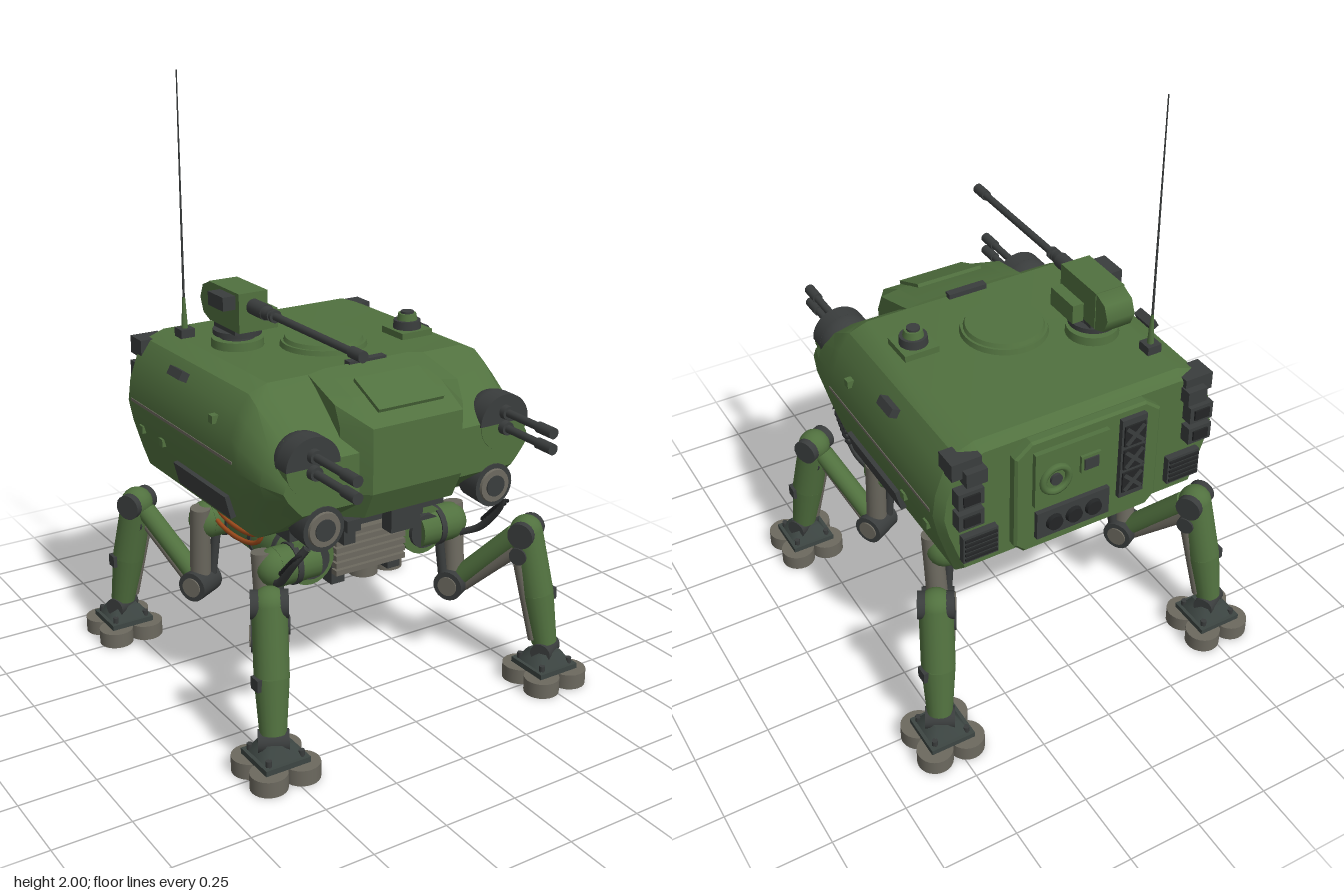
import * as THREE from 'three';
import { toCreasedNormals } from 'three/addons/utils/BufferGeometryUtils.js';

const V = (x, y, z) => new THREE.Vector3(x, y, z);
const mat = (name, color) => Object.assign(new THREE.MeshStandardMaterial({ color }), { name });

export function createModel() {
  const root = new THREE.Group();
  root.name = 'walker';
  const green = mat('olive green', 0x51713f);
  const dark = mat('dark grey', 0x3a3d3d);
  const black = mat('black', 0x232526);
  const taupe = mat('warm grey', 0x6c695f);
  const orange = mat('orange cable', 0xa04c1c);
  const slate = mat('slate', 0x3d4643);

  // Helpers
  const add = (name, geo, m, parent = root) => {
    const mesh = new THREE.Mesh(geo, m);
    mesh.name = name;
    parent.add(mesh);
    return mesh;
  };
  const box = (name, w, h, d, x, y, z, m, parent) => {
    const mesh = add(name, new THREE.BoxGeometry(w, h, d), m, parent);
    mesh.position.set(x, y, z);
    return mesh;
  };
  const rod = (name, a, b, r1, r2, m, parent, seg = 18) => {
    const dir = b.clone().sub(a);
    const mesh = add(name, new THREE.CylinderGeometry(r2, r1, dir.length(), seg), m, parent);
    mesh.position.copy(a).add(b).multiplyScalar(0.5);
    mesh.quaternion.setFromUnitVectors(V(0, 1, 0), dir.normalize());
    return mesh;
  };
  const ball = (name, r, p, m, parent) => {
    const mesh = add(name, new THREE.SphereGeometry(r, 18, 12), m, parent);
    mesh.position.copy(p);
    return mesh;
  };
  const tube = (name, pts, r, m, n = 24) =>
    add(name, new THREE.TubeGeometry(new THREE.CatmullRomCurve3(pts), n, r, 6), m);
  // Skin over closed rings, with capped ends; rings run counter-clockwise seen from the last ring
  const loft = (rings, crease) => {
    const pos = [], n = rings[0].length;
    const tri = (...p) => p.forEach((v) => pos.push(v.x, v.y, v.z));
    for (let s = 0; s < rings.length - 1; s++)
      for (let i = 0; i < n; i++) {
        const j = (i + 1) % n, a = rings[s], b = rings[s + 1];
        tri(a[i], a[j], b[j]);
        tri(a[i], b[j], b[i]);
      }
    const first = rings[0], last = rings[rings.length - 1];
    for (let i = 1; i < n - 1; i++) {
      tri(first[0], first[i + 1], first[i]);
      tri(last[0], last[i], last[i + 1]);
    }
    const g = new THREE.BufferGeometry();
    g.setAttribute('position', new THREE.Float32BufferAttribute(pos, 3));
    return toCreasedNormals(g, crease);
  };

  // Hull: half cross-section (x, height fraction), mirrored, along z stations
  const half = [[0.43, 0], [0.455, 0.15], [0.485, 0.36], [0.5, 0.52], [0.49, 0.68], [0.462, 0.84], [0.425, 0.95], [0.36, 1]];
  const outline = [...half, ...half.slice().reverse().map(([x, t]) => [-x, t])];
  const stations = [[-0.535, 0.96, 0.68, 1.1], [-0.5, 1, 0.65, 1.125], [0.2, 1, 0.65, 1.13], [0.25, 1, 0.655, 1.1], [0.36, 0.965, 0.72, 1.02], [0.45, 0.91, 0.79, 0.95]];
  add('hull', loft(stations.map(([z, w, lo, hi]) => outline.map(([x, t]) => V(x * w, lo + (hi - lo) * t, z))), 0.5), green);

  // Nose block with chamfered sides
  const nose = [[0.2, 1.14], [0.37, 1.095], [0.485, 1.03], [0.485, 0.82], [0.44, 0.73], [0.3, 0.69], [0.2, 0.68]];
  const noseRings = [[-0.228, 0.085], [-0.165, 0], [0.165, 0], [0.228, 0.085]].map(([x, inset]) =>
    nose.map(([z, y]) => V(z < 0.3 ? x * 0.95 : x, y - inset * 0.12, z > 0.42 ? z - inset : z)));
  add('nose', loft(noseRings, 0.3), green);
  box('noseHatch', 0.24, 0.012, 0.15, 0, 1.097, 0.377, green).rotation.x = 0.42;
  box('noseClamp', 0.11, 0.09, 0.05, 0, 0.69, 0.4, dark);

  // Roof hatch and small roof plate
  rod('roofHatchRing', V(0, 1.12, -0.055), V(0, 1.145, -0.055), 0.146, 0.14, green, root, 32);
  rod('roofHatch', V(0, 1.14, -0.055), V(0, 1.158, -0.055), 0.134, 0.126, green, root, 32);
  box('roofHandle', 0.14, 0.02, 0.028, 0, 1.137, 0.193, dark);

  // Roof periscope
  box('periscopeBase', 0.12, 0.03, 0.12, 0.297, 1.135, -0.003, green);
  rod('periscopeCollar', V(0.297, 1.14, -0.003), V(0.297, 1.178, -0.003), 0.048, 0.045, dark);
  rod('periscopeHead', V(0.297, 1.17, -0.003), V(0.297, 1.2, -0.003), 0.036, 0.03, green);
  rod('periscopeCap', V(0.297, 1.195, -0.003), V(0.297, 1.207, -0.003), 0.022, 0.022, dark);

  // Aerial
  box('aerialBase', 0.05, 0.03, 0.05, -0.34, 1.14, -0.38, dark);
  rod('aerialSpring', V(-0.34, 1.15, -0.38), V(-0.34, 1.26, -0.38), 0.012, 0.005, green, root, 8);
  rod('aerialWhip', V(-0.34, 1.25, -0.38), V(-0.34, 2, -0.38), 0.004, 0.002, dark, root, 6);

  // Remote gun
  const gun = new THREE.Group();
  gun.name = 'remoteGun';
  root.add(gun);
  rod('gunRing', V(-0.24, 1.12, -0.2), V(-0.24, 1.155, -0.2), 0.088, 0.085, green, gun, 24);
  rod('gunPivot', V(-0.24, 1.15, -0.2), V(-0.24, 1.205, -0.2), 0.06, 0.05, dark, gun);
  rod('gunSlewPlate', V(-0.24, 1.168, -0.2), V(-0.24, 1.185, -0.2), 0.08, 0.08, dark, gun, 24);
  box('gunHousing', 0.105, 0.13, 0.2, -0.243, 1.265, -0.185, green, gun);
  rod('gunRear', V(-0.293, 1.262, -0.285), V(-0.193, 1.262, -0.285), 0.066, 0.066, green, gun, 8);
  box('gunAmmoBox', 0.04, 0.065, 0.13, -0.168, 1.23, -0.16, green, gun);
  box('gunSight', 0.045, 0.045, 0.1, -0.322, 1.3, -0.15, dark, gun);
  box('gunCradle', 0.1, 0.03, 0.14, -0.243, 1.2, -0.19, dark, gun);
  [[-0.09, 0, 0.026, 0.026], [0, 0.04, 0.024, 0.016], [0.03, 0.5, 0.0125, 0.0125], [0.485, 0.545, 0.018, 0.018]].forEach(([a, b, r, s]) =>
    rod('gunBarrel', V(-0.243, 1.283, a), V(-0.243, 1.283, b), r, s, dark, gun));
  [0.01, 0.03, 0.05].forEach((z) => rod('barrelRib', V(-0.243, 1.283, z - 0.005), V(-0.243, 1.283, z + 0.005), 0.021, 0.021, dark, gun));

  // Hull fittings on both sides
  for (const s of [-1, 1]) {
    // Half-dome gun mounts with twin barrels
    const dome = add('gunDome', new THREE.SphereGeometry(0.094, 24, 10, 0, Math.PI * 2, 0, Math.PI / 2), dark);
    dome.position.set(s * 0.355, 0.94, 0.4);
    dome.rotation.x = -Math.PI / 2;
    const shield = add('domeShield', new THREE.CylinderGeometry(0.094, 0.094, 0.055, 24, 1, false, Math.PI / 2, Math.PI), dark);
    shield.position.set(s * 0.355, 0.94, 0.4275);
    shield.rotation.x = Math.PI / 2;
    rod('domeSeat', V(s * 0.355, 0.94, 0.38), V(s * 0.355, 0.94, 0.452), 0.091, 0.091, green, root, 28);
    for (const y of [0.977, 0.925]) {
      rod('barrelCollar', V(s * 0.355, y, 0.44), V(s * 0.355, y, 0.475), 0.024, 0.022, dark);
      rod('twinBarrel', V(s * 0.355, y, 0.44), V(s * 0.355, y, 0.64), 0.013, 0.013, dark);
      rod('twinMuzzle', V(s * 0.355, y, 0.62), V(s * 0.355, y, 0.69), 0.018, 0.018, dark);
    }
    // Front lamps
    rod('lampBody', V(s * 0.32, 0.735, 0.36), V(s * 0.32, 0.735, 0.455), 0.068, 0.072, dark, root, 24);
    rod('lampRing', V(s * 0.32, 0.735, 0.45), V(s * 0.32, 0.735, 0.463), 0.058, 0.054, taupe, root, 24);
    rod('lampLens', V(s * 0.32, 0.735, 0.46), V(s * 0.32, 0.735, 0.467), 0.035, 0.035, dark, root, 20);
    // Hose with coil
    tube('hose', [V(s * 0.37, 0.68, 0.44), V(s * 0.39, 0.62, 0.4), V(s * 0.385, 0.52, 0.31), V(s * 0.36, 0.48, 0.24)], 0.013, dark);
    const coil = [];
    for (let i = 0; i <= 48; i++) {
      const a = i * Math.PI / 4, t = i / 48;
      coil.push(V(s * 0.388 + 0.02 * Math.cos(a), 0.645 - 0.08 * t + 0.015 * Math.sin(a), 0.42 - 0.08 * t + 0.015 * Math.sin(a)));
    }
    tube('hoseCoil', coil, 0.005, black, 120);
    // Side stripe, vent, marker blocks
    box('sideStripe', 0.008, 0.01, 0.7, s * 0.497, 0.905, -0.13, taupe);
    box('sideVent', 0.03, 0.08, 0.35, s * 0.458, 0.727, -0.035, dark).rotation.z = -s * 0.25;
    box('sidePatch', 0.03, 0.03, 0.085, s * 0.473, 1.075, -0.172, dark).rotation.z = s * 0.5;
    for (const [y, z] of [[1.005, 0.085], [0.81, -0.28], [0.81, -0.43]])
      box('sideMarker', 0.025, 0.026, 0.026, s * (y > 0.9 ? 0.485 : 0.48), y, z, green);
    // Rear corner lights and grilles
    box('cornerBracket', 0.1, 0.06, 0.08, s * 0.41, 1.075, -0.51, dark);
    box('cornerLamp', 0.07, 0.05, 0.05, s * 0.39, 1.05, -0.55, dark);
    for (const y of [0.98, 0.9]) {
      box('tailLamp', 0.085, 0.06, 0.05, s * 0.41, y, -0.55, dark);
      box('tailLens', 0.055, 0.035, 0.008, s * 0.41, y, -0.577, black);
    }
    box('rearGrille', 0.12, 0.1, 0.035, s * 0.37, 0.77, -0.54, dark);
    for (let i = 0; i < 5; i++) box('grilleSlat', 0.11, 0.008, 0.008, s * 0.37, 0.735 + i * 0.018, -0.56, black);
    // Drooping orange cables
    for (const [d, o] of [[0, 0.305], [0.025, 0.318]])
      tube('cable', [V(s * o, 0.66, 0.1), V(s * (o + 0.012), 0.58 - d, 0.08), V(s * (o + 0.018), 0.54 - d, -0.08), V(s * (o + 0.012), 0.57 - d, -0.24), V(s * o, 0.66, -0.27)], 0.008, orange);
    // Belly tank with straps
    rod('bellyTank', V(s * 0.22, 0.515, 0.22), V(s * 0.22, 0.515, -0.29), 0.085, 0.085, green, root, 24);
    for (const z of [0.12, -0.03, -0.19])
      rod('tankStrap', V(s * 0.22, 0.515, z - 0.01), V(s * 0.22, 0.515, z + 0.01), 0.089, 0.089, dark, root, 24);
    for (const z of [0.225, -0.295])
      rod('tankCap', V(s * 0.22, 0.515, z - 0.01), V(s * 0.22, 0.515, z + 0.01), 0.06, 0.06, dark);
    for (const z of [0.18, -0.25]) box('bellyFoot', 0.05, 0.05, 0.05, s * 0.11, 0.425, z, dark);
    box('frontClamp', 0.045, 0.11, 0.05, s * 0.11, 0.62, 0.25, dark);
    box('frontLug', 0.05, 0.04, 0.05, s * 0.12, 0.645, 0.29, dark);
  }

  // Underbody and ribbed radiators
  box('turntable', 0.6, 0.06, 0.5, 0, 0.625, -0.03, dark);
  box('bellyBox', 0.27, 0.17, 0.48, 0, 0.52, -0.033, dark);
  for (const z of [0.215, -0.28])
    for (let i = 0; i < 6; i++) box('radiatorRib', 0.27, 0.018, 0.04, 0, 0.45 + i * 0.026, z, taupe);

  // Rear door with equipment
  const doorShape = new THREE.Shape([[-0.25, 0.72], [-0.22, 0.69], [0.22, 0.69], [0.25, 0.72], [0.25, 1.05], [0.2, 1.09], [-0.2, 1.09], [-0.25, 1.05]].map((p) => new THREE.Vector2(...p)));
  const door = add('rearDoor', new THREE.ExtrudeGeometry(doorShape, { depth: 0.035, bevelSize: 0.008, bevelThickness: 0.008, bevelSegments: 1 }), green);
  door.position.z = -0.56;
  box('doorPanel', 0.26, 0.2, 0.02, 0.07, 0.96, -0.575, green);
  const wheel = add('doorWheel', new THREE.TorusGeometry(0.045, 0.012, 8, 24), green);
  wheel.position.set(0.13, 0.95, -0.588);
  rod('wheelHub', V(0.13, 0.95, -0.575), V(0.13, 0.95, -0.595), 0.02, 0.02, dark);
  box('doorScreen', 0.07, 0.06, 0.02, 0.01, 0.97, -0.585, green);
  box('screenGlass', 0.05, 0.04, 0.006, 0.01, 0.97, -0.597, dark);
  box('fanColumn', 0.09, 0.3, 0.02, -0.15, 0.92, -0.575, dark);
  for (const y of [0.83, 0.92, 1.01]) {
    box('fanCell', 0.075, 0.075, 0.008, -0.15, y, -0.587, black);
    for (const a of [-1, 1]) box('fanCross', 0.085, 0.012, 0.008, -0.15, y, -0.592, dark).rotation.z = a * Math.PI / 4;
  }
  box('socketPlate', 0.26, 0.1, 0.018, 0.06, 0.78, -0.575, dark);
  for (const x of [0.13, 0.06, -0.01]) rod('socket', V(x, 0.78, -0.58), V(x, 0.78, -0.597), 0.03, 0.026, black);

  // Legs: same layout mirrored across both axes
  for (const sx of [-1, 1]) for (const sz of [-1, 1]) {
    const leg = new THREE.Group();
    leg.name = (sz > 0 ? 'front' : 'rear') + (sx > 0 ? 'Left' : 'Right') + 'Leg';
    root.add(leg);
    const P = (x, y, z) => V(sx * x, y, sz * z - 0.033);
    // Joint pins lie square to the plane in which the leg bends
    const pin = (name, [x, y, z], h, r, m) =>
      rod(name, P(x - 0.87 * h, y, z + 0.48 * h), P(x + 0.87 * h, y, z - 0.48 * h), r, r, m, leg, 20);
    const hip = [0.34, 0.51, 0.225], knee = [0.37, 0.28, 0.23], elbow = [0.492, 0.522, 0.455], ankle = [0.53, 0.11, 0.535];
    rod('hipAxle', P(0.2, 0.51, 0.225), P(0.34, 0.51, 0.225), 0.065, 0.065, green, leg);
    rod('hipCollar', P(0.27, 0.51, 0.225), P(0.29, 0.51, 0.225), 0.07, 0.07, dark, leg);
    ball('hipBall', 0.064, P(...hip), green, leg);
    rod('thigh', P(0.375, 0.565, 0.205), P(...knee), 0.034, 0.036, taupe, leg);
    rod('thighRam', P(0.31, 0.5, 0.21), P(0.33, 0.3, 0.22), 0.016, 0.016, dark, leg);
    pin('kneeJoint', knee, 0.055, 0.052, dark);
    pin('kneeCap', knee, 0.06, 0.034, taupe);
    rod('shank', P(...knee), P(0.475, 0.5, 0.42), 0.034, 0.034, green, leg);
    rod('shankRam', P(0.39, 0.27, 0.26), P(0.47, 0.45, 0.44), 0.02, 0.02, taupe, leg);
    pin('elbowJoint', elbow, 0.058, 0.044, dark);
    ball('elbowCap', 0.055, P(...elbow), green, leg);
    rod('lowerLeg', P(0.492, 0.522, 0.455), P(0.513, 0.31, 0.5), 0.055, 0.055, green, leg);
    rod('lowerLegTaper', P(0.513, 0.31, 0.5), P(0.528, 0.135, 0.53), 0.055, 0.042, green, leg);
    rod('lowerLegRam', P(0.455, 0.42, 0.47), P(0.49, 0.15, 0.515), 0.02, 0.016, taupe, leg);
    pin('legSwivel', [0.475, 0.45, 0.46], 0.045, 0.03, dark);
    box('legBlock', 0.03, 0.04, 0.04, sx * 0.562, 0.3, sz * 0.505 - 0.033, dark, leg);
    pin('ankleJoint', ankle, 0.048, 0.035, dark);
    // Foot: four-lobed pad under a stepped plate
    const [fx, fz] = [sx * 0.525, sz * 0.538 - 0.033];
    for (const a of [-1, 1]) for (const b of [-1, 1]) {
      const [x, z] = [fx + a * 0.057, fz + b * 0.057];
      rod('footPad', V(x, 0, z), V(x, 0.052, z), 0.059, 0.059, taupe, leg, 24);
      rod('footBolt', V(x, 0.05, z), V(x, 0.09, z), 0.01, 0.01, dark, leg, 8);
    }
    box('footCore', 0.12, 0.05, 0.12, fx, 0.026, fz, taupe, leg);
    box('footPlate', 0.155, 0.02, 0.155, fx, 0.06, fz, slate, leg);
    const step = add('footStep', new THREE.CylinderGeometry(0.055, 0.095, 0.045, 4), slate, leg);
    step.rotation.y = Math.PI / 4;
    step.position.set(fx, 0.09, fz);
  }
  return root;
}
